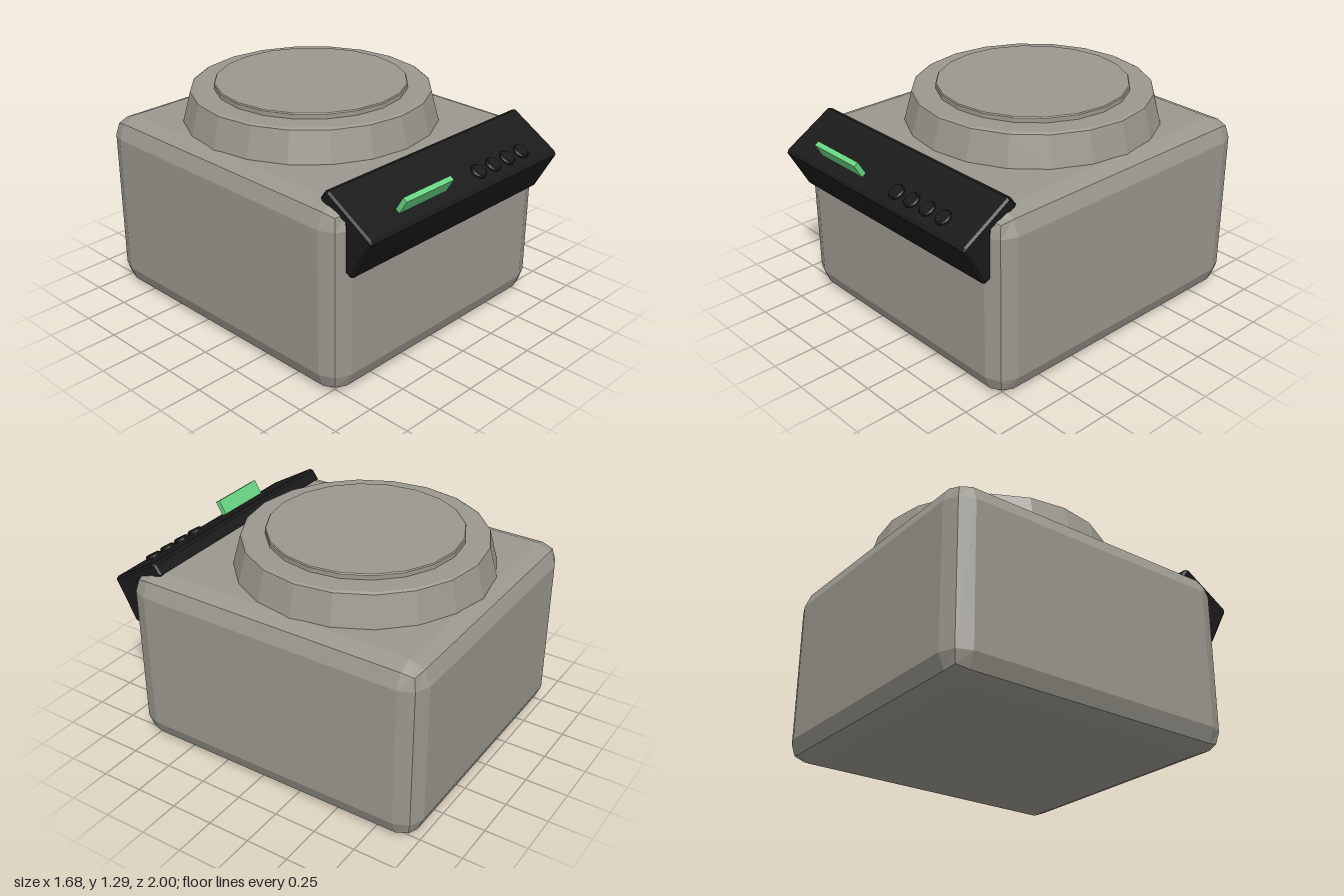
import * as THREE from 'three';
import { RoundedBoxGeometry } from 'three/addons/geometries/RoundedBoxGeometry.js';

const mat = (name, color) => {
  const m = new THREE.MeshStandardMaterial({ color });
  m.name = name;
  return m;
};

export function createModel() {
  const model = new THREE.Group();
  const grey = mat('warm grey', 0x9a978e);
  const black = mat('black plastic', 0x1a1a1a);
  const green = mat('display green', 0x69d583);

  const add = (name, geometry, material, parent = model) => {
    // Facet every surface
    const g = geometry.index ? geometry.toNonIndexed() : geometry;
    g.computeVertexNormals();
    const mesh = new THREE.Mesh(g, material);
    mesh.name = name;
    parent.add(mesh);
    return mesh;
  };

  // Housing with two-step chamfered edges
  add('housing', new RoundedBoxGeometry(1.68, 1.075, 1.84, 1, 0.12), grey).position.set(0, 0.5375, -0.08);

  // Tapered weighing drum and the thin plate on top
  const lathe = (points) => new THREE.LatheGeometry(points.map(([r, y]) => new THREE.Vector2(r, y)), 20);
  add('drum', lathe([[0, 1.06], [0.732, 1.06], [0.73, 1.08], [0.685, 1.25], [0.67, 1.258], [0, 1.258]]), grey)
    .position.z = -0.176;
  add('topPlate', lathe([[0, 1.25], [0.55, 1.25], [0.55, 1.284], [0.545, 1.29], [0, 1.29]]), grey)
    .position.z = -0.176;

  // Control panel: side profile as (z, y), extruded across the width
  const profile = [
    [0.99, 0.965], [1.0, 0.945], [0.876, 0.718], [0.855, 0.71], [0.825, 0.728],
    [0.82, 1.0], [0.665, 1.06], [0.652, 1.078], [0.687, 1.127], [0.71, 1.132],
  ].map(([z, y]) => new THREE.Vector2(z, y));
  const bevel = 0.012, width = 1.52;
  const panelGeometry = new THREE.ExtrudeGeometry(new THREE.Shape(profile), {
    depth: width - 2 * bevel, bevelEnabled: true, bevelThickness: bevel,
    bevelSize: bevel, bevelOffset: -bevel, bevelSegments: 1,
  });
  panelGeometry.translate(0, 0, -width / 2 + bevel);
  panelGeometry.rotateY(-Math.PI / 2);
  add('controlPanel', panelGeometry, black);

  // Fittings on the sloping face; local y is the face normal
  const fittings = new THREE.Group();
  fittings.name = 'panelFittings';
  fittings.position.set(0, 1.006, 0.92);
  fittings.rotation.x = Math.atan2(0.167, 0.28);
  model.add(fittings);

  add('display', new THREE.BoxGeometry(0.36, 0.13, 0.03), green, fittings).position.set(-0.31, 0.025, 0.003);

  // Row of round buttons with a softened rim
  for (let i = 0; i < 4; i++) {
    const button = new THREE.LatheGeometry(
      [[0, -0.02], [0.045, -0.02], [0.045, 0.012], [0.038, 0.02], [0, 0.02]].map(([r, y]) => new THREE.Vector2(r, y)), 16);
    add('button' + (i + 1), button, black, fittings).position.x = 0.15 + i * 0.123;
  }
  return model;
}
